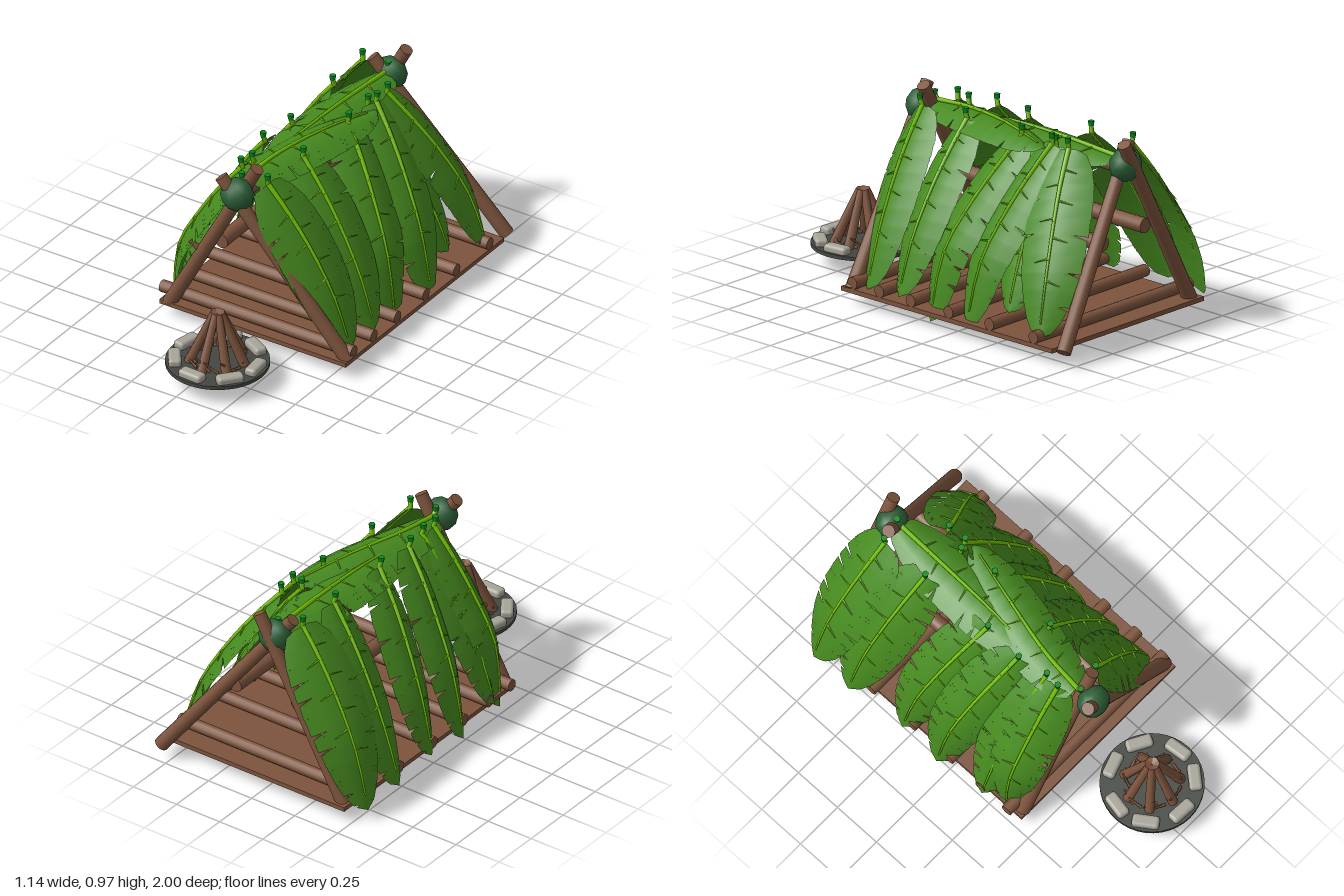
import * as THREE from 'three';
import { mergeVertices } from 'three/addons/utils/BufferGeometryUtils.js';
import { RoundedBoxGeometry } from 'three/addons/geometries/RoundedBoxGeometry.js';

const mat = (name, color, side = THREE.FrontSide) =>
  Object.assign(new THREE.MeshStandardMaterial({ color, side }), { name });
const V = (x, y, z) => new THREE.Vector3(x, y, z);

export function createModel() {
  const wood = mat('wood brown', 0x7d543d);
  const leafGreen = mat('leaf green', 0x468a1f, THREE.DoubleSide);
  const ribGreen = mat('rib lime', 0x74c204);
  const stemGreen = mat('stem green', 0x0c8a1c);
  const knotGreen = mat('knot green', 0x2d6038);
  const stone = mat('stone grey', 0xa8a59a);
  const ash = mat('ash grey', 0x454841);

  const model = new THREE.Group();
  let seed = 7;
  const rand = () => (seed = (seed * 16807) % 2147483647) / 2147483647;

  const add = (name, geometry, material, parent = model) => {
    const mesh = new THREE.Mesh(geometry, material);
    mesh.name = name;
    parent.add(mesh);
    return mesh;
  };

  // Round stick between two points
  const stick = (name, a, b, r0, r1 = r0, material = wood, parent = model, sides = 12) => {
    const dir = b.clone().sub(a);
    const mesh = add(name, new THREE.CylinderGeometry(r1, r0, dir.length(), sides), material, parent);
    mesh.position.copy(a).add(b).multiplyScalar(0.5);
    mesh.quaternion.setFromUnitVectors(V(0, 1, 0), dir.normalize());
  };

  // Floor slab and logs
  add('floorSlab', new THREE.BoxGeometry(1.04, 0.022, 1.34), wood).position.set(0.05, 0.071, -0.24);
  for (const z of [0.36, 0.19, -0.01, -0.25, -0.51, -0.79])
    stick('floorLog', V(-0.5, 0.111, z), V(0.57, 0.111, z), 0.03);

  // Crossed end poles, purlins and ridge
  stick('frontPole', V(-0.43, 0.07, 0.4), V(0.05, 0.95, 0.39), 0.036, 0.032);
  stick('frontPole', V(0.55, 0.07, 0.38), V(-0.085, 0.915, 0.49), 0.036, 0.032);
  stick('backPole', V(-0.43, 0.07, -0.86), V(0.045, 0.95, -0.88), 0.036, 0.032);
  stick('backPole', V(0.55, 0.07, -0.965), V(-0.085, 0.915, -0.79), 0.036, 0.032);
  stick('sidePurlin', V(-0.145, 0.495, -0.84), V(-0.145, 0.495, 0.4), 0.037);
  stick('sidePurlin', V(0.185, 0.495, -0.88), V(0.185, 0.495, 0.4), 0.037);
  stick('ridgePole', V(-0.01, 0.81, -0.84), V(-0.01, 0.81, 0.43), 0.03);
  stick('poleStub', V(-0.26, 0.41, 0.4), V(-0.305, 0.455, 0.42), 0.016, 0.012);

  // Leafy knots where the poles cross
  for (const z of [0.46, -0.835]) {
    const knot = add('poleKnot', new THREE.IcosahedronGeometry(0.084, 1), knotGreen);
    knot.position.set(-0.015, 0.825, z);
    knot.scale.z = 0.88;
  }

  // Broad leaf: slit blade swept along a spine, drooping at both edges
  const leaf = (name, points, out, halfWidth, droop) => {
    const group = new THREE.Group();
    group.name = name;
    model.add(group);
    const curve = new THREE.CatmullRomCurve3(points);
    const frame = (t) => {
      const p = curve.getPoint(t), T = curve.getTangent(t);
      const S = T.clone().cross(out).normalize();
      return { p, T, S, N: S.clone().cross(T) };
    };
    const point = (t, u, torn = 1) => {
      const { p, S, N } = frame(t);
      const w = halfWidth * Math.pow(1 - Math.pow(Math.abs(2 * (0.05 + 0.95 * t) - 1), 2.5), 0.55);
      const k = Math.abs(u) === 1 ? u * torn : u;
      return p.addScaledVector(S, k * w).addScaledVector(N, -droop * k * k * w / halfWidth);
    };
    // Pairs of rows: a narrow one that may be slit, then a whole one
    const rows = 24, cols = [-1, -0.5, 0, 0.5, 1], pos = [];
    const rowT = (i) => 1 - Math.pow(1 - (Math.floor(i / 2) + (i % 2) * 0.22) / (rows / 2), 1.4);
    for (let i = 0; i < rows; i++) {
      const t0 = rowT(i), t1 = rowT(i + 1);
      const tears = [rand(), rand()].map((r) => (i % 2 === 0 && r < 0.4 ? 0.62 : 0.98));
      for (let j = 0; j < 4; j++) {
        const torn = tears[j >> 1];
        const a = point(t0, cols[j], torn), b = point(t0, cols[j + 1], torn);
        const c = point(t1, cols[j + 1]), d = point(t1, cols[j]);
        for (const v of [a, b, c, a, c, d]) pos.push(v.x, v.y, v.z);
      }
    }
    let blade = new THREE.BufferGeometry();
    blade.setAttribute('position', new THREE.Float32BufferAttribute(pos, 3));
    blade = mergeVertices(blade, 1e-5);
    blade.computeVertexNormals();
    add('leafBlade', blade, leafGreen, group);

    // Tapering midrib, side veins and cut stem
    const above = (t, u) => point(t, u).addScaledVector(frame(t).N, 0.005);
    for (let i = 0; i < 10; i++)
      stick('leafRib', above(i * 0.094, 0), above((i + 1) * 0.094, 0),
        0.0125 - i * 0.0008, 0.0117 - i * 0.0008, ribGreen, group, 6);
    for (let i = 0; i < 7; i++) {
      const t = 0.15 + i * 0.1;
      stick('leafVein', above(t, 0), above(t + 0.02, (i % 2 ? 1 : -1) * 0.48), 0.006, 0.002, ribGreen, group, 4);
    }
    const f = frame(0);
    const end = f.p.clone().addScaledVector(f.T, -0.025).addScaledVector(out, 0.025);
    stick('leafStem', f.p, end, 0.012, 0.012, ribGreen, group, 6);
    stick('leafStemEnd', end, end.clone().add(V(0, 0.025, 0)), 0.013, 0.016, stemGreen, group, 6);
  };

  // Side leaves: side, top z, bottom z, tip x, tip y, half width, lift, roll towards the front
  const sideLeaves = [
    [1, 0.36, 0.31, 0.52, 0.08, 0.165, 0, 0.3],
    [1, 0.07, 0.11, 0.52, 0.09, 0.16, 0.005, 0.25],
    [1, -0.29, -0.08, 0.51, 0.01, 0.155, 0.015, 0.2],
    [1, -0.5, -0.34, 0.54, 0.05, 0.155, 0.035, 0.15],
    [1, -0.6, -0.8, 0.54, 0.1, 0.165, 0.03, -0.25],
    [1, -0.49, -0.56, 0.49, 0.16, 0.14, -0.005, 0],
    [-1, -0.77, -0.83, 0.55, 0.06, 0.18, 0.035, -0.25],
    [-1, -0.52, -0.6, 0.56, 0.08, 0.165, 0.03, 0.15],
    [-1, -0.14, -0.29, 0.52, 0.07, 0.15, 0.01, 0.2],
    [-1, 0.07, -0.06, 0.53, 0.05, 0.15, 0.025, 0.25],
    [-1, 0.22, 0.21, 0.51, 0.09, 0.14, -0.01, 0.3],
    [-1, 0.3, 0.32, 0.46, 0.0, 0.145, 0, 0.3],
  ];
  for (const [s, z0, z1, x, y, w, lift, roll] of sideLeaves) {
    const at = (px, py, k) => V(s * (px + lift), py + lift * 0.6, z0 + (z1 - z0) * k);
    leaf('sideLeaf', [at(0.09, 0.865, 0), at(0.2, 0.73, 0.25), at(0.315, 0.56, 0.55),
      at(0.43, 0.34, 0.85), V(s * x, y, z1)], V(s * 0.85, 0.53, roll), w, 0.05);
  }

  // Two leaves lying along the ridge
  leaf('ridgeLeaf', [V(-0.01, 0.855, -0.78), V(-0.02, 0.87, -0.45), V(-0.03, 0.87, -0.15), V(-0.05, 0.85, 0.1)],
    V(0, 1, 0), 0.155, 0.07);
  leaf('ridgeLeaf', [V(-0.03, 0.86, 0.37), V(-0.01, 0.88, 0.15), V(0.06, 0.89, -0.15), V(0.15, 0.865, -0.47)],
    V(0, 1, 0), 0.145, 0.07);

  // Fire pit: ash disc, ring of stones, cone of sticks
  const pit = new THREE.Group();
  pit.name = 'firePit';
  pit.position.set(0.07, 0, 0.755);
  model.add(pit);
  add('ashDisc', new THREE.CylinderGeometry(0.245, 0.245, 0.018, 40), ash, pit).position.y = 0.095;
  for (const deg of [-109, -61, -6, 40, 93, 145, 191]) {
    const a = deg * Math.PI / 180;
    const rock = add('ringStone', new RoundedBoxGeometry(0.062, 0.045, 0.13, 2, 0.017), stone, pit);
    rock.position.set(Math.cos(a) * 0.2, 0.116, Math.sin(a) * 0.2);
    rock.rotation.y = -a;
  }
  for (let i = 0; i < 7; i++) {
    const a = i / 7 * Math.PI * 2 + Math.PI / 2, c = Math.cos(a), s = Math.sin(a);
    stick('fireStick', V(c * 0.135, 0.1, s * 0.135), V(c * 0.018, 0.358, s * 0.018), 0.025, 0.018, wood, pit, 8);
    for (const turn of [0.3, 0.6]) {
      const b = a + turn, r = 0.1 + rand() * 0.04;
      stick('fireTwig', V(Math.cos(b) * r, 0.108, Math.sin(b) * r),
        V(Math.cos(b + 0.5) * 0.14, 0.12 + rand() * 0.06, Math.sin(b + 0.5) * 0.14), 0.008, 0.004, wood, pit, 5);
    }
  }
  return model;
}
